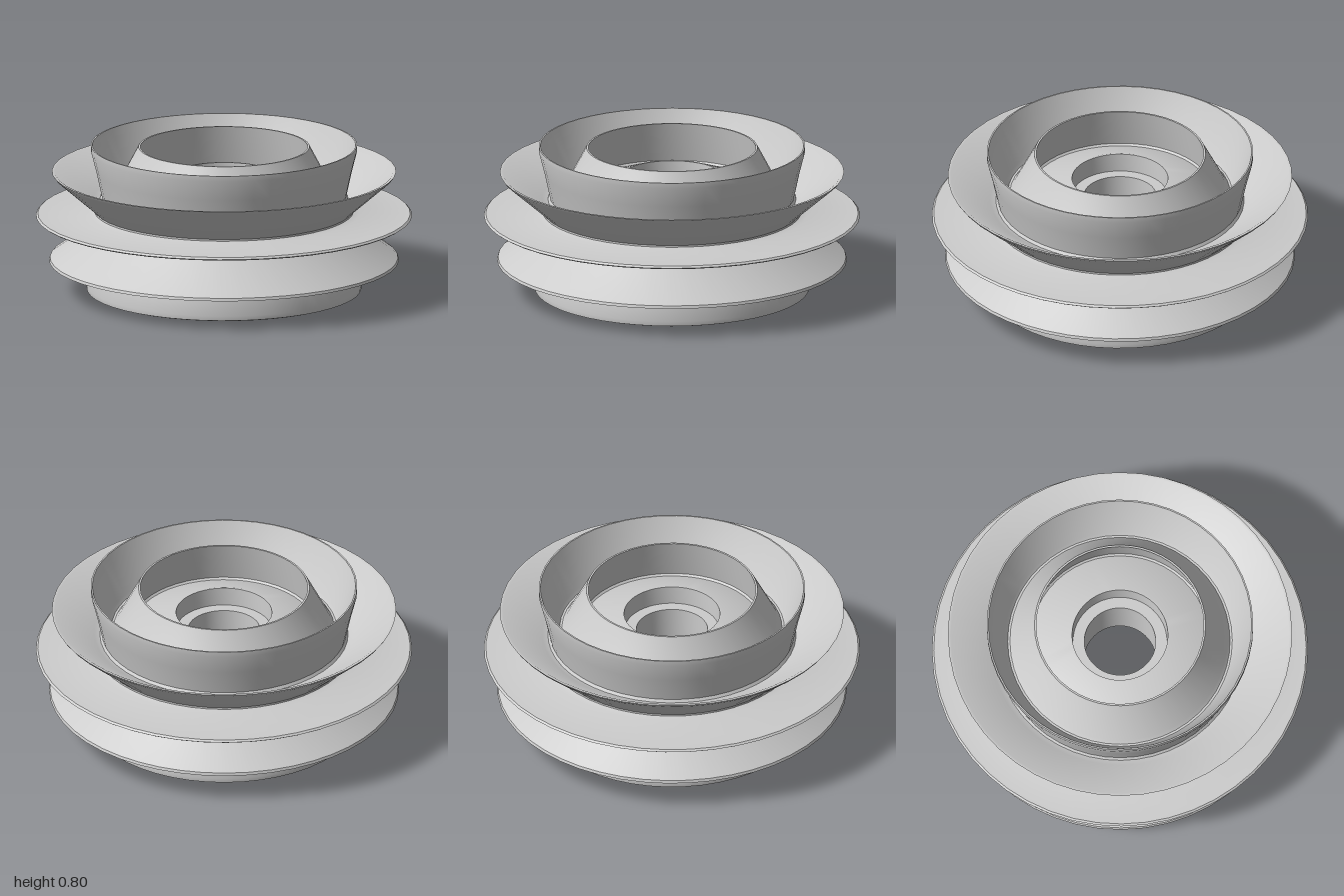
import * as THREE from 'three';
import { toCreasedNormals } from 'three/addons/utils/BufferGeometryUtils.js';

const SEGMENTS = 48;

// Outer side, listed from the bottom rim to the top rim as [radius, height]
const outerSide = [
  [0.715, 0.01], [0.73, 0.015], [0.733, 0.04], [0.70, 0.17], [0.66, 0.27],   // bottom lip
  [0.67, 0.285], [0.70, 0.275], [0.915, 0.17], [0.93, 0.17], [0.925, 0.185], // lower flared lip
  [0.71, 0.34], [0.685, 0.365], [0.69, 0.38], [0.72, 0.39],                  // root fillet
  [0.99, 0.408], [1.0, 0.415], [0.99, 0.425], [0.72, 0.43],                  // thin middle disc
  [0.69, 0.44], [0.69, 0.45], [0.71, 0.47],                                  // root fillet
  [0.905, 0.64], [0.915, 0.655], [0.90, 0.655],                              // upper flared lip
  [0.69, 0.515], [0.66, 0.505], [0.65, 0.52],
  [0.68, 0.66], [0.708, 0.77], [0.708, 0.80], [0.70, 0.80],                  // top lip
];

// Top groove, inner lip and sloping floor down to the bore
const topInside = [
  [0.61, 0.57], [0.597, 0.55], [0.585, 0.55], [0.57, 0.57],                  // groove
  [0.46, 0.78], [0.455, 0.79], [0.445, 0.79],                                // inner lip rim
  [0.485, 0.575], [0.475, 0.565], [0.265, 0.64], [0.255, 0.64],              // floor
  [0.25, 0.54], [0.19, 0.54],                                                // step in the bore
];

// Bore, inner lip and groove on the underside
const bottomInside = [
  [0.19, 0.26], [0.26, 0.26],                                                // step in the bore
  [0.265, 0.155], [0.275, 0.155], [0.495, 0.225], [0.505, 0.215],            // floor
  [0.47, 0.0], [0.48, 0.0], [0.485, 0.01],                                   // inner lip rim
  [0.57, 0.22], [0.585, 0.24], [0.60, 0.24], [0.615, 0.22],                  // groove
];

export function createModel() {
  const group = new THREE.Group();
  group.name = 'lipSeal';

  const profile = [...outerSide, ...topInside, ...bottomInside, outerSide[0]]
    .map(([r, y]) => new THREE.Vector2(r, y));
  const geometry = toCreasedNormals(new THREE.LatheGeometry(profile, SEGMENTS), 0.6);

  const body = new THREE.Mesh(geometry, new THREE.MeshStandardMaterial({ color: 0xcccccc }));
  body.name = 'sealBody';
  group.add(body);
  return group;
}
